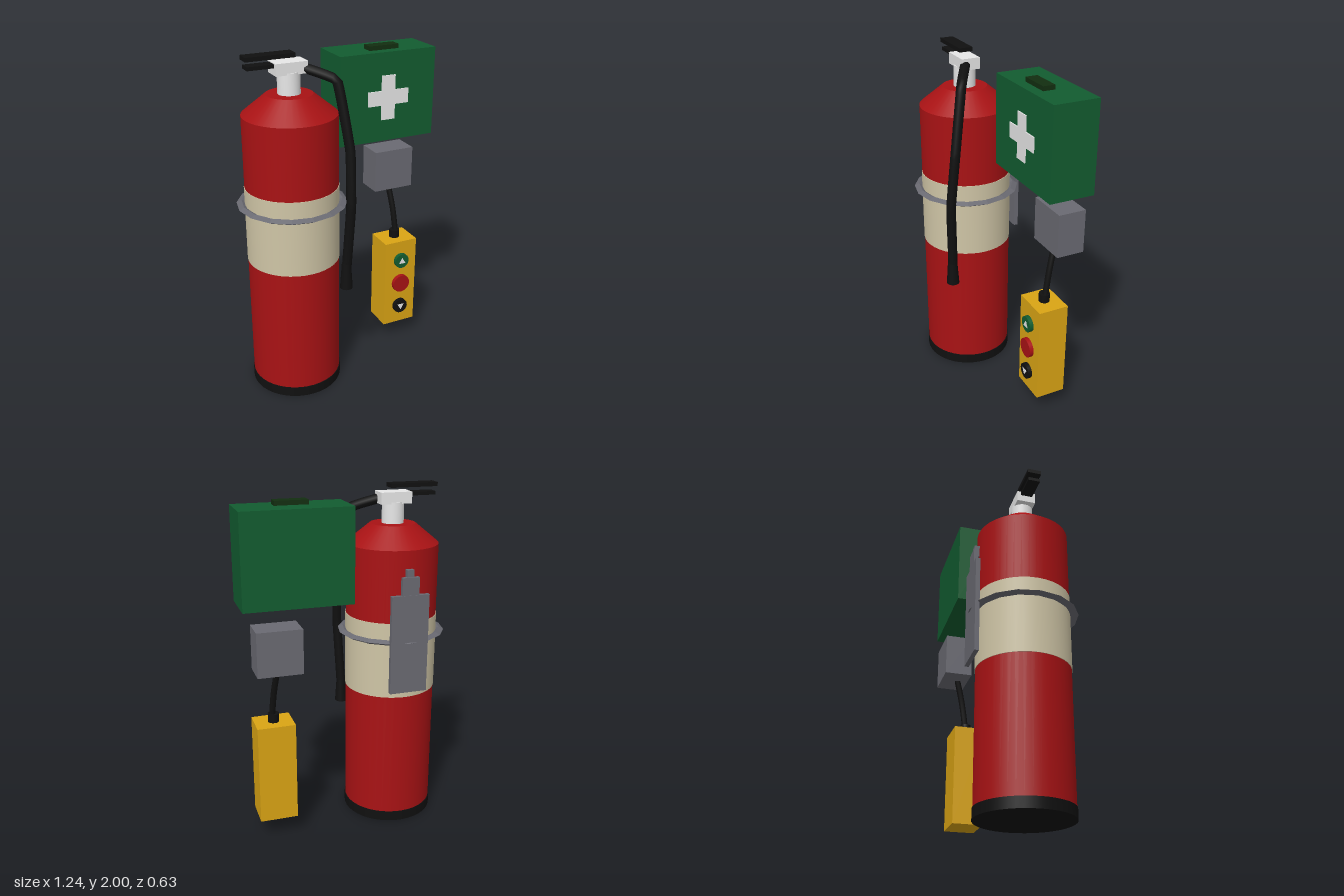
import * as THREE from 'three';

const paint = (name, color) => {
  const m = new THREE.MeshStandardMaterial({ color });
  m.name = name;
  return m;
};

export function createModel() {
  const red = paint('red', 0xa81214);
  const black = paint('black', 0x101010);
  const cream = paint('cream', 0xcfc5a6);
  const steel = paint('steel grey', 0x6a6a72);
  const white = paint('white', 0xebebeb);
  const green = paint('green', 0x125c30);
  const darkGreen = paint('dark green', 0x122e10);
  const yellow = paint('yellow', 0xdaa414);

  const root = new THREE.Group();
  root.name = 'safetyEquipment';
  const group = (name) => {
    const g = new THREE.Group();
    g.name = name;
    root.add(g);
    return g;
  };
  const add = (parent, name, geometry, material, x = 0, y = 0, z = 0) => {
    const mesh = new THREE.Mesh(geometry, material);
    mesh.name = name;
    mesh.position.set(x, y, z);
    parent.add(mesh);
    return mesh;
  };
  // Box given by its limits on each axis
  const box = (parent, name, mat, [x0, x1], [y0, y1], [z0, z1]) =>
    add(parent, name, new THREE.BoxGeometry(x1 - x0, y1 - y0, z1 - z0), mat,
      (x0 + x1) / 2, (y0 + y1) / 2, (z0 + z1) / 2);
  // Upright cylinder or cone between two heights
  const round = (parent, name, mat, rTop, rBottom, y0, y1, x, z, sides = 40) =>
    add(parent, name, new THREE.CylinderGeometry(rTop, rBottom, y1 - y0, sides), mat, x, (y0 + y1) / 2, z);
  const tube = (parent, name, mat, points, radius, segments, tension) => {
    const curve = new THREE.CatmullRomCurve3(
      points.map((p) => new THREE.Vector3(...p)), false, 'catmullrom', tension);
    return add(parent, name, new THREE.TubeGeometry(curve, segments, radius, 10), mat);
  };

  // Fire extinguisher tank
  const ext = group('extinguisher');
  const cx = -0.31;
  round(ext, 'base', black, 0.268, 0.268, 0, 0.06, cx, 0);
  round(ext, 'tank', red, 0.264, 0.264, 0.05, 1.67, cx, 0);
  round(ext, 'shoulder', red, 0.13, 0.264, 1.67, 1.78, cx, 0);
  round(ext, 'label', cream, 0.267, 0.267, 0.815, 1.26, cx, 0);

  // Valve and squeeze levers
  round(ext, 'neck', white, 0.063, 0.063, 1.77, 1.9, cx, 0, 24);
  box(ext, 'valve', white, [-0.402, -0.22], [1.89, 1.955], [-0.055, 0.055]);
  box(ext, 'upperLever', black, [-0.56, -0.283], [1.977, 2], [-0.04, 0.04]);
  box(ext, 'lowerLever', black, [-0.55, -0.39], [1.93, 1.95], [-0.035, 0.035]);

  // Hose and nozzle
  tube(ext, 'hose', black, [
    [-0.25, 1.92, 0.02], [-0.085, 1.85, 0.12], [-0.037, 1.47, 0.185],
    [-0.045, 1.155, 0.215], [-0.065, 0.78, 0.203],
  ], 0.028, 36, 0.12);
  round(ext, 'nozzle', black, 0.027, 0.038, 0.64, 0.8, -0.068, 0.204, 14);

  // Sharp-edged clamp ring, flattened from a four-sided torus
  const ring = new THREE.TorusGeometry(0.285, 0.028, 4, 16).toNonIndexed();
  ring.rotateX(Math.PI / 2);
  ring.scale(1, 0.55, 1);
  ring.computeVertexNormals();
  add(ext, 'clampRing', ring, steel, cx, 1.155, 0);

  // Wall bracket behind the tank
  box(ext, 'bracketPlate', steel, [-0.42, -0.2], [0.86, 1.43], [-0.305, -0.28]);
  box(ext, 'bracketTab', steel, [-0.36, -0.26], [1.42, 1.53], [-0.302, -0.278]);
  box(ext, 'bracketHook', steel, [-0.33, -0.29], [1.5, 1.57], [-0.292, -0.262]);

  // First aid case
  const kit = group('firstAidCase');
  box(kit, 'case', green, [0.013, 0.62], [1.41, 1.93], [-0.305, -0.042]);
  box(kit, 'caseHandle', darkGreen, [0.225, 0.41], [1.925, 1.955], [-0.173, -0.103]);
  const a = 0.043, b = 0.13;
  const cross = new THREE.Shape([
    [a, a], [a, b], [-a, b], [-a, a], [-b, a], [-b, -a],
    [-a, -a], [-a, -b], [a, -b], [a, -a], [b, -a], [b, a],
  ].map((p) => new THREE.Vector2(...p)));
  add(kit, 'cross', new THREE.ExtrudeGeometry(cross, { depth: 0.008, bevelEnabled: false }),
    white, 0.316, 1.668, -0.043);

  // Pendant control hanging from its wall box
  const pendant = group('pendantControl');
  const px = 0.442, pz = -0.138;
  box(pendant, 'wallBox', steel, [0.3, 0.555], [1.043, 1.297], [-0.305, -0.142]);
  tube(pendant, 'cable', black,
    [[0.422, 1.06, -0.205], [0.44, 0.9, -0.165], [0.45, 0.74, pz]], 0.018, 14, 0.5);
  round(pendant, 'cableCollar', black, 0.032, 0.032, 0.7, 0.76, px, pz, 16);
  box(pendant, 'controlBody', yellow, [0.333, 0.553], [0.12, 0.71], [-0.228, -0.048]);

  // Push buttons, the outer two with arrows
  const buttons = [
    ['upButton', green, 0.58, 0.048, 1],
    ['stopButton', red, 0.415, 0.058, 0],
    ['downButton', black, 0.247, 0.048, -1],
  ];
  for (const [name, mat, y, r, dir] of buttons) {
    const button = add(pendant, name, new THREE.CylinderGeometry(r, r, 0.03, 28), mat, px, y, -0.039);
    button.rotation.x = Math.PI / 2;
    if (dir) {
      const arrow = add(pendant, name + 'Arrow', new THREE.CylinderGeometry(0.026, 0.026, 0.004, 3),
        white, px, y - dir * 0.002, -0.023);
      arrow.rotation.x = Math.PI / 2;
      // Point the triangle up or down
      arrow.geometry.rotateY(dir > 0 ? Math.PI : 0);
    }
  }
  return root;
}
